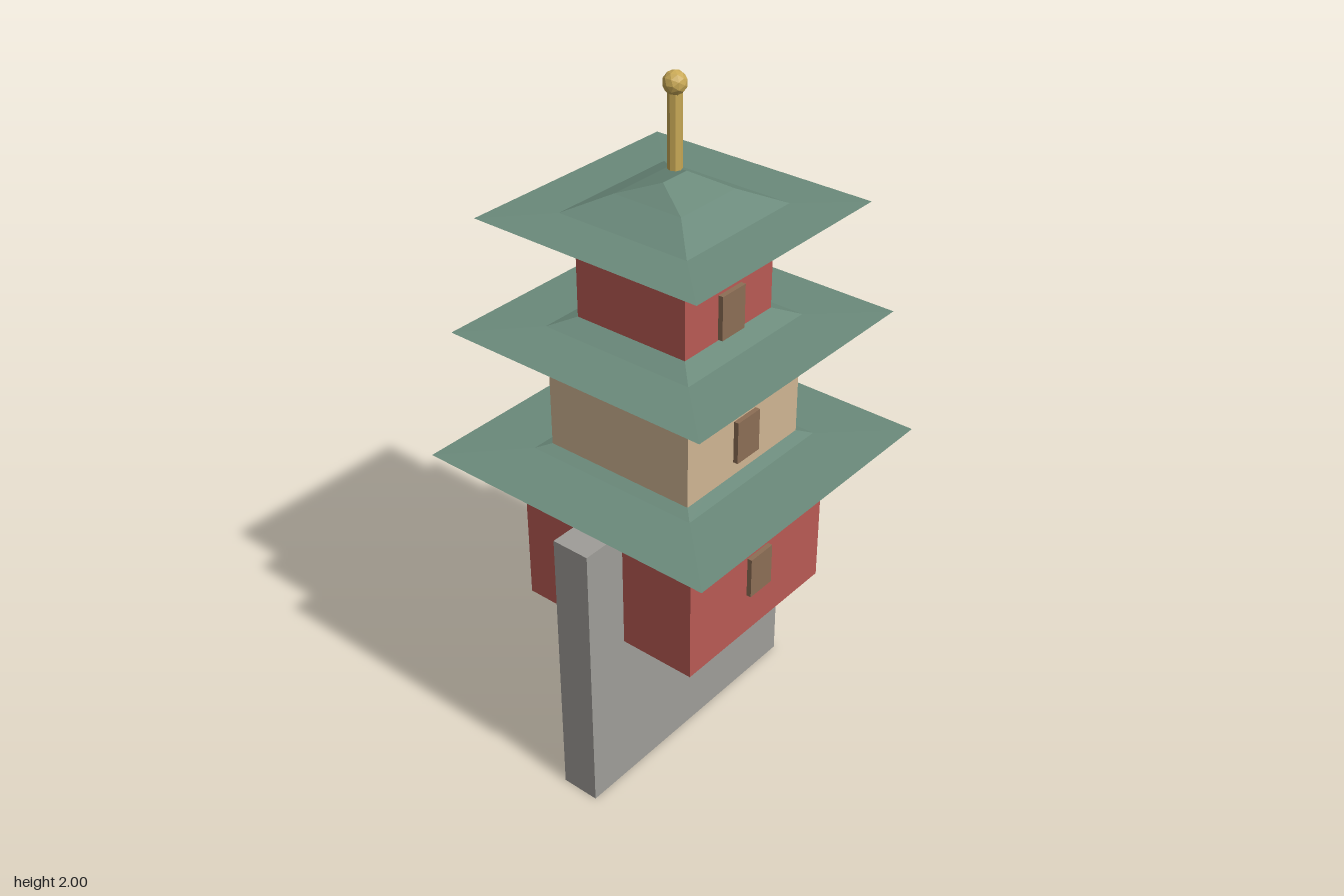
import * as THREE from 'three';

const mat = (color) => new THREE.MeshStandardMaterial({ color, flatShading: true });
const red = mat(0xb95a54), tan = mat(0xcfb593), green = mat(0x6b8a7b);
const wood = mat(0x8c6e55), stone = mat(0x9f9d98), gold = mat(0xc9a956);

function add(group, name, geometry, material, x = 0, y = 0, z = 0) {
  const mesh = new THREE.Mesh(geometry, material);
  mesh.name = name;
  mesh.position.set(x, y, z);
  group.add(mesh);
}

// Square roof lofted through rings of [half x, half z, height], from the low point below to the ridge
function roofGeometry(half) {
  const s = half / 0.345;
  const rings = [
    [0, 0, -0.055], [0.345, 0.345, 0], [0.2, 0.2, 0.005],
    [0.105, 0.105, 0.05], [0.045, 0, 0.088],
  ];
  const corners = [[1, 1], [1, -1], [-1, -1], [-1, 1]];
  const point = (ring, i) => {
    const [cx, cz] = corners[i % 4];
    return [ring[0] * cx * s, ring[2], ring[1] * cz * s];
  };
  const positions = [];
  for (let r = 0; r < rings.length - 1; r++) {
    for (let i = 0; i < 4; i++) {
      const a = point(rings[r], i), b = point(rings[r], i + 1);
      const c = point(rings[r + 1], i + 1), d = point(rings[r + 1], i);
      if (r > 0) positions.push(...a, ...b, ...c);
      positions.push(...a, ...c, ...d);
    }
  }
  const geometry = new THREE.BufferGeometry();
  geometry.setAttribute('position', new THREE.Float32BufferAttribute(positions, 3));
  geometry.computeVertexNormals();
  return geometry;
}

export function createModel() {
  const model = new THREE.Group();
  model.name = 'pagoda';

  // Upright stone slab carrying the tower
  add(model, 'baseSlab', new THREE.BoxGeometry(0.84, 0.85, 0.114), stone, 0, 0.425, 0);

  // Three storeys: walls, front door and roof
  const storeys = [
    { name: 'lowerStorey', half: 0.285, bottom: 0.488, top: 0.905, color: red, door: 0.675, eave: 0.455, roofY: 0.963 },
    { name: 'middleStorey', half: 0.23, bottom: 0.93, top: 1.273, color: tan, door: 1.082, eave: 0.4, roofY: 1.33 },
    { name: 'upperStorey', half: 0.174, bottom: 1.292, top: 1.587, color: red, door: 1.423, eave: 0.345, roofY: 1.643 },
  ];
  for (const s of storeys) {
    const storey = new THREE.Group();
    storey.name = s.name;
    const height = s.top - s.bottom;
    add(storey, 'walls', new THREE.BoxGeometry(2 * s.half, height, 2 * s.half), s.color, 0, s.bottom + height / 2, 0);
    add(storey, 'door', new THREE.BoxGeometry(0.09, 0.123, 0.028), wood, 0, s.door, s.half);
    add(storey, 'roof', roofGeometry(s.eave), green, 0, s.roofY, 0);
    model.add(storey);
  }

  // Spire with faceted ball
  add(model, 'spire', new THREE.CylinderGeometry(0.019, 0.019, 0.2, 8), gold, 0, 1.853, 0);
  add(model, 'spireBall', new THREE.IcosahedronGeometry(0.031, 1), gold, 0, 1.969, 0);

  return model;
}
